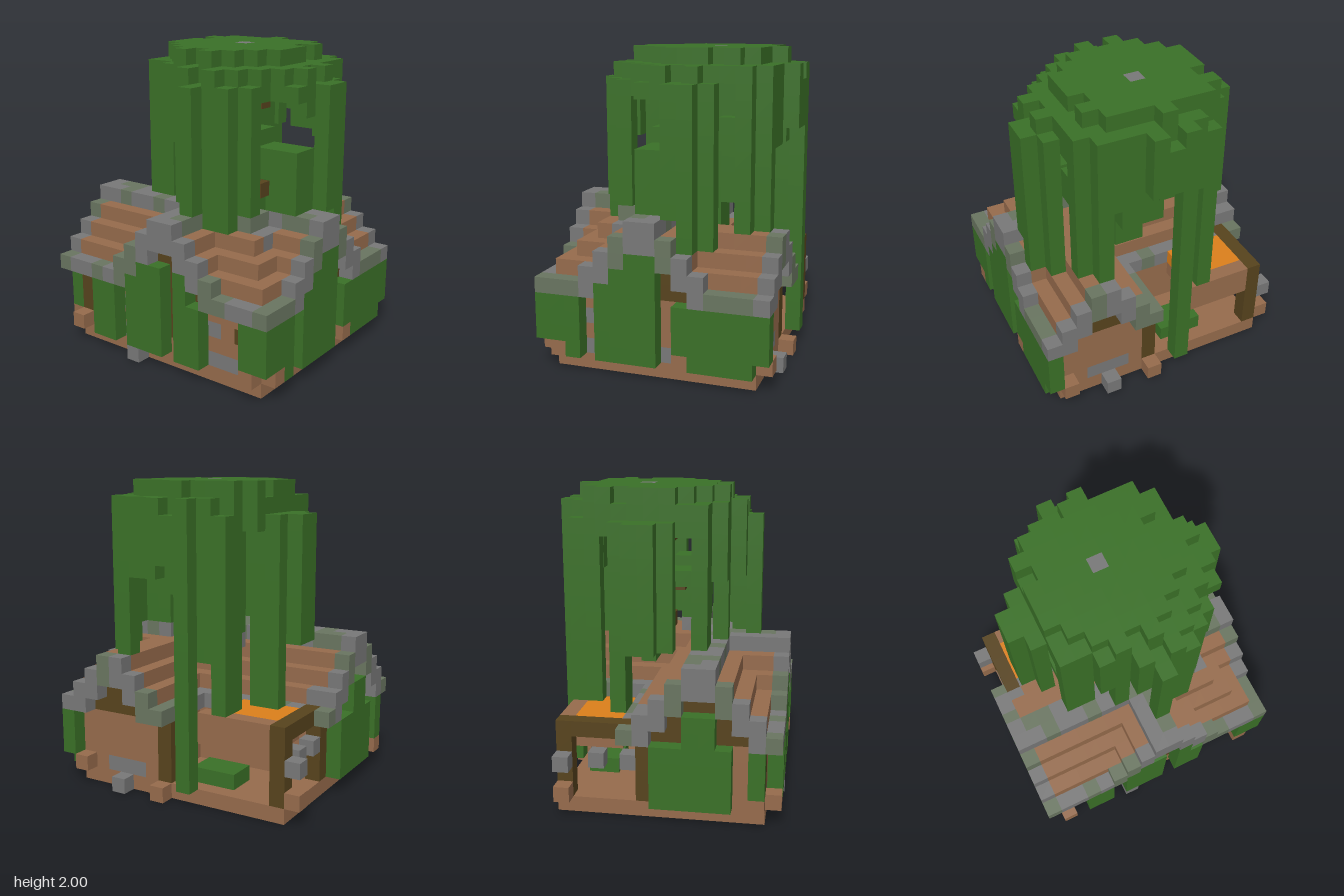
import * as THREE from 'three';
import { mergeGeometries } from 'three/addons/utils/BufferGeometryUtils.js';

const U = 0.1; // block size
const material = (name, color) => {
  const m = new THREE.MeshStandardMaterial({ color });
  m.name = name;
  return m;
};

// outward face templates, one per block side
const SIDES = [
  [[1, 0, 0], 'y', Math.PI / 2], [[-1, 0, 0], 'y', -Math.PI / 2],
  [[0, 1, 0], 'x', -Math.PI / 2], [[0, -1, 0], 'x', Math.PI / 2],
  [[0, 0, 1], 'y', 0], [[0, 0, -1], 'y', Math.PI],
].map(([n, axis, a]) => {
  const g = new THREE.PlaneGeometry(U, U);
  if (axis === 'x') g.rotateX(a); else g.rotateY(a);
  g.translate(n[0] * U / 2, n[1] * U / 2, n[2] * U / 2);
  return { n, g };
});

// steps away from a ridge that is two blocks wide (a and a + 1)
const dist = (n, a) => (n <= a ? a - n : n - a - 1);

// top of the roof, in blocks, above column i, k (0 = no roof)
function roofTop(i, k) {
  const slope = (n, a, peak) => (peak - dist(n, a) >= 6 ? peak - dist(n, a) : 0);
  const left = slope(k, 2, 10), back = slope(i, 4, 9);
  let t = 0;
  if (k >= 3) t = i >= 5 ? Math.min(left, back) : left;
  else t = Math.max(i <= 4 ? left : 0, back);
  if (k >= 3) t = Math.max(t, slope(i, 0, 10)); // front gable
  if (i >= 5) t = Math.max(t, slope(k, 0, 10)); // right gable
  return t;
}

export function createModel() {
  const M = {
    leaf: material('leaf green', 0x3a7027),
    wood: material('plank brown', 0x966b4c),
    dark: material('dark timber', 0x57431d),
    stone: material('stone grey', 0x787878),
    moss: material('mossy stone', 0x697560),
    straw: material('orange', 0xdb7f1b),
  };
  const cells = new Map();
  const key = (i, j, k) => `${i},${j},${k}`;
  const put = (part, mat, i, j, k, keep) => {
    if (!(keep && cells.has(key(i, j, k)))) cells.set(key(i, j, k), { part, mat, i, j, k });
  };
  const fill = (part, mat, i0, i1, j0, j1, k0, k1, keep = false) => {
    for (let i = i0; i <= i1; i++)
      for (let j = j0; j <= j1; j++)
        for (let k = k0; k <= k1; k++) put(part, mat, i, j, k, keep);
  };
  // wall that reaches from block j0 up to the roof
  const wall = (mat, i0, i1, k0, k1, j0 = 1) => {
    for (let i = i0; i <= i1; i++)
      for (let k = k0; k <= k1; k++)
        fill('wall', mat, i, i, j0, Math.max(4, roofTop(i, k) - 2), k, k);
  };

  // floor slab and foundation blocks
  fill('floor', 'wood', -7, 7, 0, 0, -6, 6);
  fill('foundationBlock', 'stone', -2, -2, 0, 0, 7, 7);
  fill('foundationBlock', 'stone', 4, 4, 0, 0, -7, -7);
  for (const [i, j, k] of [[-8, 1, 6], [8, 1, 6], [1, 0, -7], [7, 1, -7], [-8, 1, -6], [-7, 1, 7], [7, 1, 7], [8, 1, -2]])
    put('foundationBlock', 'wood', i, j, k);

  // walls of the two wings
  wall('wood', -7, 7, 6, 6);
  wall('wood', 7, 7, -6, 6);
  wall('wood', -7, -7, -1, 6);
  wall('wood', 1, 7, -6, -6);
  wall('wood', -7, 2, -1, -1);
  wall('wood', 2, 2, -6, -1);

  // timber posts and dark gable tops
  wall('dark', -7, -7, 6, 6);
  wall('dark', -7, -7, -1, -1);
  wall('dark', 1, 1, -6, -6);
  wall('dark', 0, 1, 6, 6, 6);
  wall('dark', 1, 1, 6, 6, 2);
  wall('dark', 7, 7, -2, 1, 5);
  wall('dark', 2, 7, -6, -6, 5);
  wall('dark', -7, -7, 0, 5, 5);

  // stones set in the walls
  for (const [i, j, k] of [[-6, 1, 6], [-3, 1, 6], [-3, 3, 6], [4, 1, 6], [5, 1, 6], [6, 1, 6], [4, 3, 6],
    [7, 1, 4], [7, 3, 4], [7, 1, -1], [3, 1, -6], [4, 1, -6], [5, 1, -6], [-7, 1, 4]])
    put('wallStone', 'stone', i, j, k);
  put('doorHandle', 'dark', 6, 3, 6);

  // stepped roof with stone verges, ridges and eaves
  for (let i = -8; i <= 8; i++)
    for (let k = -7; k <= 7; k++) {
      const t = roofTop(i, k);
      if (!t) continue;
      const edge = Math.abs(i) === 8 || Math.abs(k) === 7 || t === 10 || t === 6;
      const mossy = (((i * 7 + k * 11 + t * 5) % 10) + 10) % 10 < 4;
      fill('roof', edge ? (mossy ? 'moss' : 'stone') : 'wood', i, i, Math.max(5, t - 2), t - 1, k, k);
    }
  put('gableTimber', 'dark', 3, 5, 6);
  put('gableTimber', 'dark', 7, 5, -2);
  fill('roofStone', 'stone', 5, 5, 8, 8, 2, 3);
  fill('roofStone', 'stone', -1, 1, 9, 9, -1, -1);
  put('roofStone', 'stone', -7, 6, -1);

  // courtyard shelter, fence and bush
  fill('shelterPost', 'dark', -7, -7, 1, 4, -6, -6);
  fill('shelterBeam', 'dark', -7, -7, 5, 5, -6, -2);
  fill('shelterRail', 'wood', -6, -2, 4, 5, -6, -6);
  fill('shelterDeck', 'wood', -6, -3, 4, 4, -5, -3);
  fill('shelterTop', 'straw', -6, -3, 5, 5, -5, -3);
  for (const [i, k] of [[-8, -6], [-7, -4], [-7, -2]]) put('fenceStone', 'stone', i, 3, k);
  fill('bush', 'leaf', -3, -1, 1, 1, -5, -4);

  // ivy on the walls: i0, i1, j0, j1, k0, k1
  for (const b of [
    [-8, -8, 2, 4, 6, 6], [-5, -4, 1, 4, 7, 7], [-2, -2, 1, 5, 7, 7], [-1, 0, 1, 6, 7, 7],
    [2, 2, 1, 6, 7, 7], [3, 3, 1, 4, 7, 7], [7, 8, 2, 4, 7, 7], [8, 8, 2, 4, 6, 7], [8, 8, 1, 4, 5, 5],
    [8, 8, 1, 5, 3, 3], [8, 8, 1, 6, 2, 2], [8, 8, 1, 7, 0, 1], [8, 8, 1, 4, -6, -3], [8, 8, 2, 4, -7, -7], [8, 8, 2, 4, -2, -2],
    [-8, -8, 1, 4, 0, 1], [-8, -8, 1, 6, 2, 3], [-8, -8, 1, 4, 4, 4],
  ]) fill('ivy', 'leaf', ...b, true);

  // leaf-covered trunk with bare branch stubs
  fill('trunk', 'leaf', 0, 1, 8, 17, -2, -2, true);
  fill('trunk', 'leaf', -1, 1, 10, 17, -3, -1, true);
  fill('branchStub', 'dark', 0, 0, 13, 13, -1, 0);
  fill('branchStub', 'dark', 1, 2, 10, 10, -1, -1);
  fill('branchStub', 'dark', 1, 2, 16, 16, -1, -1);

  // canopy: outline given as first and last block of each row from the back
  const rows = [[-1, 1], [-3, 4], [-3, 5], [-4, 5], [-5, 6], [-6, 7], [-6, 7], [-5, 6], [-4, 6], [-4, 4], [-2, 4], [0, 3], [1, 1]];
  rows.forEach(([a, b], r) => {
    const k = r - 7;
    for (let i = a; i <= b; i++) {
      const ragged = (i + k) % 2 ? 0 : 0.7; // alternate rim blocks stick out
      put('canopy', 'leaf', i, 17, k);
      if (i > -5 && Math.hypot(i - 0.5, k + 1.5) < 5.2 + ragged) put('canopy', 'leaf', i, 18, k);
      if (Math.abs(i) < 5 && Math.hypot(i, k + 1.5) < 4.1 + ragged) put('canopy', 'leaf', i, 19, k);
    }
  });
  put('trunkTip', 'stone', 0, 19, -2);

  // hanging vines: column and lowest block
  for (const [i, k, low] of [
    [-6, -2, 10], [-6, -1, 10], [-5, -3, 5], [-4, -3, 6], [-5, 0, 10], [-3, -5, 6], [-3, -6, 5],
    [-2, -6, 14], [-1, -7, 1], [0, -7, 15], [1, -7, 15], [0, -6, 14], [2, -6, 14], [3, -6, 14], [4, -6, 9], [5, -5, 9],
    [6, -3, 8], [7, -2, 8], [7, -1, 10], [6, 0, 16], [4, 3, 10], [3, 4, 9], [2, 4, 9], [1, 5, 9],
    [0, 4, 14], [-1, 3, 10], [-2, 3, 14], [-4, 2, 10], [-3, 2, 10],
  ]) fill('vine', 'leaf', i, i, low, 16, k, k, true);

  // lower leaf clumps
  fill('leafClump', 'leaf', 4, 6, 12, 13, 0, 1, true);
  fill('leafClump', 'leaf', 5, 6, 10, 11, 0, 1, true);
  fill('leafClump', 'leaf', 2, 3, 13, 14, 0, 1, true);
  fill('leafClump', 'leaf', 5, 5, 14, 15, -4, -4, true);
  fill('leafClump', 'leaf', -4, -3, 14, 14, 0, 1, true);

  // skin: keep only faces that touch air, one mesh per part and colour
  const groups = new Map();
  for (const { part, mat, i, j, k } of cells.values()) {
    const id = `${part}|${mat}`;
    for (const { n, g } of SIDES) {
      if (cells.has(key(i + n[0], j + n[1], k + n[2]))) continue;
      if (!groups.has(id)) groups.set(id, []);
      groups.get(id).push(g.clone().translate(i * U, (j + 0.5) * U, k * U));
    }
  }
  const model = new THREE.Group();
  model.name = 'overgrownCottage';
  for (const [id, faces] of groups) {
    const [part, mat] = id.split('|');
    const mesh = new THREE.Mesh(mergeGeometries(faces), M[mat]);
    mesh.name = part;
    model.add(mesh);
  }
  return model;
}
